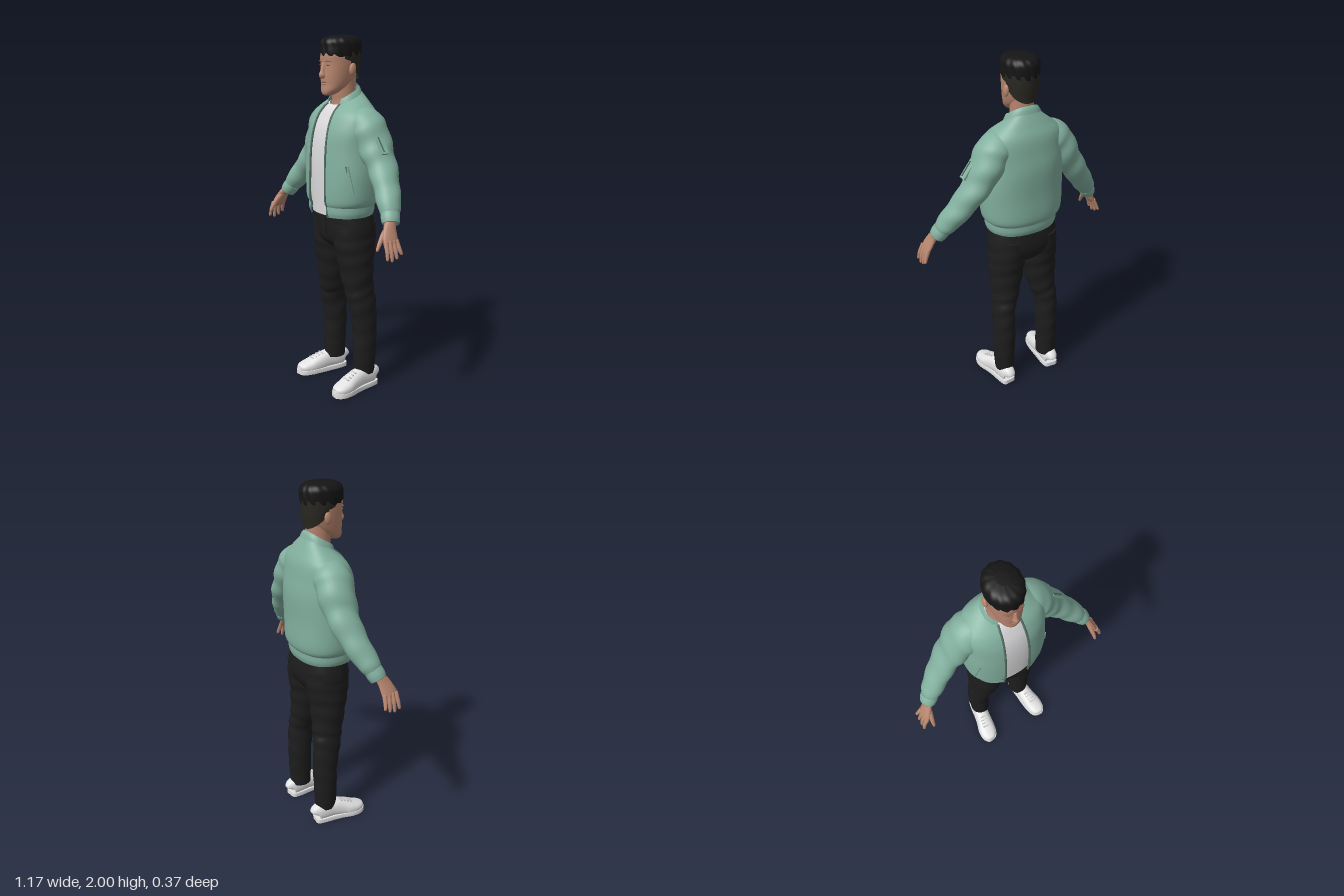
import * as THREE from 'three';

const flat = (name, color, side = THREE.FrontSide) => {
  const m = new THREE.MeshStandardMaterial({ color, side });
  m.name = name;
  return m;
};
const V = (x, y, z) => new THREE.Vector3(x, y, z);
const spow = (v, e) => Math.sign(v) * Math.abs(v) ** e;

// Catmull-Rom interpolation of every column of a table of cross-sections
function smooth(rows, k) {
  const out = [], at = i => rows[Math.max(0, Math.min(rows.length - 1, i))];
  for (let i = 0; i < rows.length - 1; i++)
    for (let j = 0; j < k; j++) {
      const t = j / k, [a, b, c, d] = [at(i - 1), at(i), at(i + 1), at(i + 2)];
      out.push(b.map((_, q) => b[q] + 0.5 * t * (c[q] - a[q] + t * (2 * a[q] - 5 * b[q] + 4 * c[q] - d[q]
        + t * (3 * (b[q] - c[q]) + d[q] - a[q])))));
    }
  out.push(rows[rows.length - 1]);
  return out;
}

// Point on a horizontal section [x, y, z, rx, rz, gap, tilt]; angle 0 is +z
const onSection = ([x, y, z, rx, rz, , tilt = 0], a, e) =>
  V(x + rx * spow(Math.sin(a), e), y - tilt * Math.cos(a), z + rz * spow(Math.cos(a), e));
const gapAngle = (r, e) => Math.asin(Math.min(1, (r[5] / r[3]) ** (1 / e)));

// Skin over cross-sections listed from bottom to top (or heel to toe)
function loft(name, mat, table, o = {}) {
  const { n = 32, k = 5, e = 1, ref = V(0, 0, 1), level = false, open = false, arc = 0, fold, warp, clamp } = o;
  const rows = smooth(table, k), cols = open || arc ? n + 1 : n, pos = [], idx = [];
  const put = p => {
    if (clamp) p.y = Math.max(clamp[0], Math.min(clamp[1], p.y));
    pos.push(p.x, p.y, p.z);
  };
  rows.forEach((r, j) => {
    const c = V(r[0], r[1], r[2]), s = j / (rows.length - 1);
    const p0 = rows[Math.max(0, j - 1)], p1 = rows[Math.min(rows.length - 1, j + 1)];
    const T = V(p1[0] - p0[0], p1[1] - p0[1], p1[2] - p0[2]).normalize();
    const N = ref.clone().addScaledVector(T, -ref.dot(T)).normalize(), B = T.clone().cross(N);
    const a0 = open ? gapAngle(r, e) : arc;
    for (let i = 0; i < cols; i++) {
      const a = a0 + (i / n) * (2 * Math.PI - 2 * a0);
      const p = level ? onSection(r, a, e)
        : c.clone().addScaledVector(B, r[3] * spow(Math.sin(a), e)).addScaledVector(N, r[4] * spow(Math.cos(a), e));
      if (fold) {
        const f = 1 + fold[0] * Math.sin(s * Math.PI) * Math.sin(s * fold[1] + 2 * Math.sin(a + 1));
        p.set(c.x + (p.x - c.x) * f, p.y, c.z + (p.z - c.z) * f);
      }
      if (warp) warp(p, a, s, c);
      put(p);
    }
  });
  for (let j = 0; j < rows.length - 1; j++)
    for (let i = 0; i < n; i++) {
      const i1 = (i + 1) % cols, a = j * cols + i, b = j * cols + i1;
      idx.push(a, b, b + cols, a, b + cols, a + cols);
    }
  if (!open && !arc && !o.hollow) {
    const last = (rows.length - 1) * cols, q = pos.length / 3;
    put(V(...rows[0].slice(0, 3)));
    put(V(...rows[rows.length - 1].slice(0, 3)));
    for (let i = 0; i < n; i++) {
      const i1 = (i + 1) % n;
      idx.push(q, i1, i, q + 1, last + i, last + i1);
    }
  }
  const g = new THREE.BufferGeometry();
  g.setAttribute('position', new THREE.Float32BufferAttribute(pos, 3));
  g.setIndex(idx);
  g.computeVertexNormals();
  const m = new THREE.Mesh(g, mat);
  m.name = name;
  return m;
}

// [y, halfWidth, zFront, zBack, gap, tilt] to a horizontal section
const band = rows => rows.map(([y, w, f, b, gap = 0, tilt = 0]) => [0, y, (f + b) / 2, w, (f - b) / 2, gap, tilt]);

export function createModel() {
  const model = new THREE.Group();
  model.name = 'man';
  const jacketMat = flat('jacket green', 0x82b09f, THREE.DoubleSide), trimMat = flat('zipper dark green', 0x536e64);
  const shirtMat = flat('shirt white', 0xdcdcde, THREE.DoubleSide), pantsMat = flat('trouser black', 0x1d1d1e);
  const skin = flat('skin', 0xb8866e), shade = flat('lip and brow brown', 0x8c5f4e);
  const hairMat = flat('hair black', 0x151515), fadeMat = flat('short hair', 0x2a2822, THREE.DoubleSide);
  const shoeMat = flat('shoe white', 0xe2e2e2), laceMat = flat('lace grey', 0xc4c4c6);
  const add = (...m) => model.add(...m);
  const mesh = (name, geo, mat, p, s = [1, 1, 1]) => {
    const m = new THREE.Mesh(geo, mat);
    m.name = name;
    m.position.set(...p);
    m.scale.set(...s);
    add(m);
    return m;
  };
  const tube = (name, pts, r, mat) =>
    mesh(name, new THREE.TubeGeometry(new THREE.CatmullRomCurve3(pts), 40, r, 8), mat, [0, 0, 0]);
  const ball = new THREE.SphereGeometry(1, 20, 14);

  // Jacket body, hem and collar, open at the front
  const E = 0.87;
  const body = band([
    [1.08, 0.203, 0.157, -0.157, 0.075, 0], [1.12, 0.23, 0.168, -0.174, 0.074, 0],
    [1.25, 0.238, 0.167, -0.176, 0.072, 0], [1.4, 0.234, 0.16, -0.178, 0.07, 0],
    [1.5, 0.234, 0.142, -0.17, 0.067, 0], [1.58, 0.22, 0.115, -0.155, 0.063, 0.01],
    [1.63, 0.165, 0.085, -0.13, 0.06, 0.02], [1.67, 0.103, 0.06, -0.1, 0.055, 0.04]]);
  const hem = band([[1.025, 0.198, 0.155, -0.15, 0.078, 0], [1.05, 0.205, 0.162, -0.158, 0.077, 0],
    [1.085, 0.206, 0.162, -0.16, 0.075, 0]]);
  const collar = band([[1.66, 0.106, 0.064, -0.104, 0.055, 0.04], [1.685, 0.095, 0.06, -0.094, 0.055, 0.045],
    [1.7, 0.086, 0.055, -0.082, 0.055, 0.045]]);
  const wide = { n: 64, e: E, level: true, open: true };
  add(loft('jacketBody', jacketMat, body, { ...wide, fold: [0.008, 22] }),
    loft('jacketHem', jacketMat, hem, wide), loft('jacketCollar', jacketMat, collar, wide));

  // Zipper edges and slanted pocket welts
  const fine = smooth([hem[0], hem[1], ...body], 3);
  for (const s of [1, -1]) {
    tube('zipperEdge', fine.map(r => onSection(r, s * gapAngle(r, E), E)), 0.006, trimMat);
    const welt = [[1.17, 1.12], [1.21, 1.08], [1.26, 1.02], [1.32, 0.95]].map(([y, a]) =>
      onSection([0, y, -0.004, 0.237, 0.171], s * a, E));
    tube('pocketWelt', welt, 0.007, jacketMat);
    tube('pocketSeam', welt.map(p => p.clone().add(V(-s * 0.009, 0, 0.006))), 0.003, trimMat);
  }

  // Shirt
  add(loft('shirt', shirtMat, band([
    [1.03, 0.18, 0.142, -0.135], [1.25, 0.215, 0.15, -0.155], [1.4, 0.21, 0.145, -0.158],
    [1.5, 0.2, 0.128, -0.15], [1.58, 0.17, 0.1, -0.13, 0, 0.01], [1.63, 0.115, 0.075, -0.1, 0, 0.015],
    [1.66, 0.078, 0.057, -0.09, 0, 0.03]]), { n: 48, e: E, level: true, hollow: true }));

  // Sleeves, cuffs and hands
  for (const s of [1, -1]) {
    const side = rows => rows.map(([x, ...r]) => [x * s, ...r]);
    add(loft('sleeve', jacketMat, side([
      [0.473, 1.105, 0.03, 0.044, 0.05], [0.45, 1.138, 0.018, 0.056, 0.062], [0.395, 1.21, -0.01, 0.063, 0.072],
      [0.33, 1.3, -0.035, 0.069, 0.083], [0.265, 1.39, -0.043, 0.081, 0.096], [0.21, 1.485, -0.04, 0.093, 0.105],
      [0.165, 1.54, -0.035, 0.088, 0.1], [0.1, 1.58, -0.03, 0.055, 0.08]]), { k: 8, fold: [0.05, 34] }));
    add(loft('cuff', jacketMat, side([[0.499, 1.062, 0.047, 0.041, 0.046], [0.487, 1.083, 0.04, 0.046, 0.051],
      [0.471, 1.108, 0.03, 0.046, 0.051]])));
    add(loft('palm', skin, side([
      [0.556, 0.968, 0.087, 0.008, 0.032], [0.552, 0.978, 0.086, 0.013, 0.042], [0.54, 1.0, 0.082, 0.017, 0.045],
      [0.52, 1.04, 0.07, 0.019, 0.038], [0.5, 1.075, 0.052, 0.024, 0.03], [0.485, 1.1, 0.04, 0.025, 0.03]])));
    for (let i = 0; i < 4; i++) {
      const zb = 0.052 + 0.023 * i, zt = 0.04 + 0.03 * i, y = 0.89 + [0.025, 0.008, 0, 0.01][i];
      add(loft('finger', skin, side([[0.58, y, zt, 0.003, 0.003], [0.579, y + 0.006, zt, 0.008, 0.008],
        [0.57, 0.945, (zb + zt) / 2, 0.011, 0.011], [0.549, 0.99, zb, 0.013, 0.013]]), { n: 12 }));
    }
    add(loft('thumb', skin, side([[0.528, 0.94, 0.158, 0.003, 0.003], [0.527, 0.947, 0.155, 0.008, 0.008],
      [0.524, 0.98, 0.137, 0.012, 0.012], [0.518, 1.015, 0.108, 0.014, 0.018], [0.51, 1.045, 0.075, 0.012, 0.02]]), { n: 14 }));

    // Trouser leg
    add(loft('trouserLeg', pantsMat, side([
      [0.147, 0.085, -0.055, 0.056, 0.063], [0.149, 0.2, -0.056, 0.061, 0.069], [0.147, 0.35, -0.058, 0.064, 0.073],
      [0.145, 0.5, -0.045, 0.064, 0.083], [0.126, 0.6, -0.032, 0.077, 0.089], [0.111, 0.75, -0.02, 0.098, 0.105],
      [0.104, 0.87, -0.017, 0.104, 0.125], [0.1, 0.98, -0.016, 0.1, 0.128]]), { k: 9, fold: [0.03, 60] }));

    // Shoe upper, sole and laces
    const foot = [[0.152, 0.05, -0.128, 0.02, 0.03], [0.153, 0.06, -0.117, 0.038, 0.05],
      [0.156, 0.062, -0.07, 0.045, 0.054], [0.162, 0.064, -0.01, 0.046, 0.055], [0.17, 0.052, 0.05, 0.05, 0.05],
      [0.18, 0.04, 0.1, 0.054, 0.042], [0.187, 0.035, 0.15, 0.046, 0.03], [0.19, 0.03, 0.176, 0.025, 0.022],
      [0.19, 0.03, 0.183, 0.006, 0.008]];
    const along = { ref: V(0, 1, 0), e: 0.85 };
    add(loft('shoe', shoeMat, side(foot), { ...along, clamp: [0.01, 0.2] }));
    add(loft('shoeSole', shoeMat, side(foot.map(([x, , z, w]) => [x, 0.013, z * 1.015, w + 0.003, 0.05])),
      { ...along, e: 0.5, clamp: [0, 0.026] }));
    for (let i = 0; i < 4; i++) {
      const lace = mesh('lace', new THREE.BoxGeometry(0.046, 0.006, 0.009), laceMat,
        [s * (0.168 + 0.004 * i), 0.107 - 0.0075 * i, 0.035 + 0.02 * i]);
      lace.rotation.x = 0.4;
    }

    // Ear, eye and brow
    mesh('ear', ball, skin, [s * 0.091, 1.82, -0.008], [0.012, 0.034, 0.021]).rotation.x = -0.15;
    mesh('eye', ball, shade, [s * 0.035, 1.843, 0.113], [0.014, 0.004, 0.004]).rotation.y = s * 0.3;
    mesh('brow', ball, shade, [s * 0.036, 1.862, 0.114], [0.02, 0.004, 0.005]).rotation.y = s * 0.3;
  }

  // Sleeve pocket on the left arm
  const pocket = mesh('sleevePocket', new THREE.BoxGeometry(0.012, 0.11, 0.045), jacketMat, [0.331, 1.441, -0.02]);
  const zip = mesh('sleevePocketZip', new THREE.BoxGeometry(0.008, 0.09, 0.006), trimMat, [0.336, 1.445, -0.012]);
  pocket.rotation.z = zip.rotation.z = 0.65;

  // Hips of the trousers
  add(loft('trouserHips', pantsMat, band([[0.83, 0.1, 0.06, -0.1], [0.87, 0.19, 0.1, -0.135],
    [0.92, 0.207, 0.116, -0.152], [0.98, 0.205, 0.122, -0.152], [1.06, 0.19, 0.128, -0.14]]), { level: true, n: 48, e: E }));
  mesh('fly', new THREE.BoxGeometry(0.03, 0.1, 0.006), pantsMat, [0.008, 0.965, 0.122]);

  // Neck, head and nose
  add(loft('neck', skin, band([[1.56, 0.08, 0.06, -0.09], [1.64, 0.066, 0.05, -0.086], [1.7, 0.062, 0.055, -0.082],
    [1.8, 0.064, 0.06, -0.085]]), { level: true }));
  add(loft('head', skin, band([
    [1.682, 0.022, 0.112, 0.065], [1.69, 0.036, 0.12, 0.045], [1.71, 0.055, 0.123, 0.01], [1.74, 0.069, 0.121, -0.04],
    [1.78, 0.078, 0.122, -0.075], [1.84, 0.086, 0.12, -0.096], [1.9, 0.088, 0.122, -0.102],
    [1.95, 0.08, 0.1, -0.09], [1.975, 0.05, 0.06, -0.05]]), { level: true, n: 40, e: 0.92 }));
  add(loft('nose', skin, [[0, 1.778, 0.115, 0.012, 0.01], [0, 1.788, 0.121, 0.018, 0.024],
    [0, 1.81, 0.118, 0.012, 0.02], [0, 1.852, 0.112, 0.01, 0.012]], { n: 16 }));
  mesh('upperLip', ball, shade, [0, 1.752, 0.119], [0.026, 0.004, 0.007]);
  mesh('lowerLip', ball, skin, [0, 1.744, 0.118], [0.022, 0.006, 0.009]);

  // Swept top hair with strands, and short hair at the sides and back
  add(loft('topHair', hairMat, band([[1.885, 0.09, 0.118, -0.106], [1.9, 0.094, 0.123, -0.11], [1.935, 0.096, 0.122, -0.112],
    [1.965, 0.094, 0.119, -0.108], [1.988, 0.073, 0.092, -0.085], [1.998, 0.03, 0.035, -0.035]]), {
    level: true, n: 96, e: 0.95,
    warp: (p, a, s, c) => {
      const f = 1 + 0.022 * Math.sin(a * 13 + s * 7);
      p.x *= f;
      p.z = c.z + (p.z - c.z) * f;
    },
  }));
  add(loft('shortHair', fadeMat, band([[1.77, 0.084, 0.1, -0.093], [1.84, 0.091, 0.11, -0.104], [1.91, 0.093, 0.115, -0.109]]), {
    level: true, n: 48, e: 0.92, arc: 1.25,
    warp: (p, a, s) => {
      const low = 1.85 - 0.09 * Math.max(0, -Math.cos(a)) ** 0.7;
      p.y = low + s * (1.91 - low);
    },
  }));
  return model;
}
